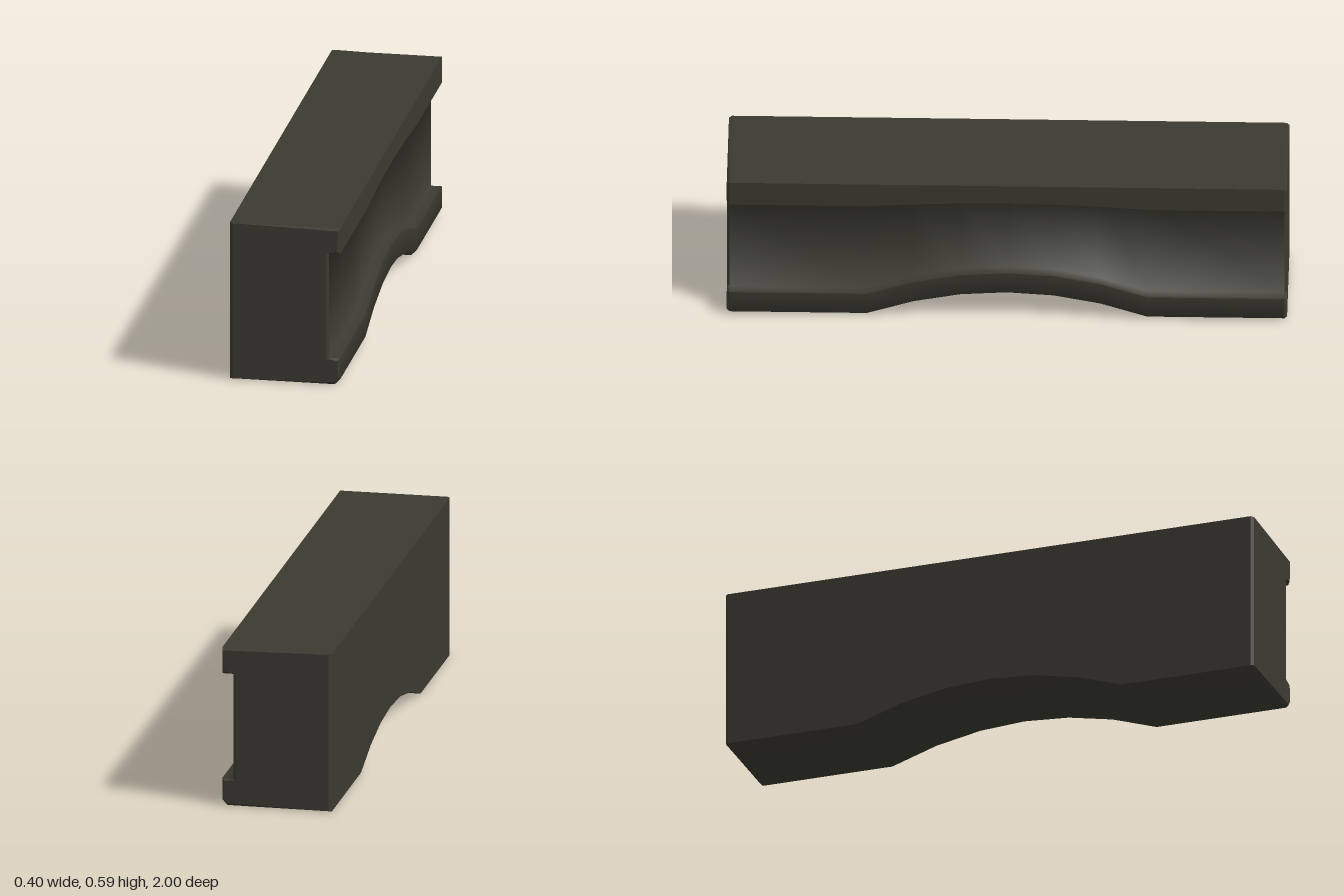
import * as THREE from 'three';

// Outline of the beam, anticlockwise seen from the front: [x, y, share of the arch rise]
const PROFILE = [
  [-0.2, 0, 1], [0.18, 0, 1], [0.2, 0.02, 1], [0.2, 0.1, 1], [0.16, 0.1, 1],
  [0.16, 0.49, 0.2], [0.2, 0.49, 0.2], [0.2, 0.587, 0], [-0.2, 0.587, 0],
];
// Slightly smaller outline of the bevelled end faces
const END = [
  [-0.19, 0.003], [0.18, 0.01], [0.195, 0.03], [0.19, 0.09], [0.15, 0.098],
  [0.15, 0.493], [0.19, 0.5], [0.196, 0.578], [-0.19, 0.586],
];
const STATIONS = [-0.99, -0.5, -1 / 3, -1 / 6, 0, 1 / 6, 1 / 3, 0.5, 0.99];

const arch = (z) => 0.1 * Math.max(0, 1 - (z / 0.5) ** 2);

// Join rows of points (z increasing) into an indexed surface
function loft(rows) {
  const n = rows[0].length, index = [];
  for (let i = 0; i < rows.length - 1; i++) {
    for (let j = 0; j < n - 1; j++) {
      const a = i * n + j, b = a + 1, c = b + n, d = a + n;
      index.push(a, b, c, a, c, d);
    }
  }
  const geo = new THREE.BufferGeometry();
  geo.setAttribute('position', new THREE.Float32BufferAttribute(rows.flat(2), 3));
  geo.setIndex(index);
  return geo;
}

// Long side surface, smooth within the strip of chosen profile points
function strip(ids) {
  const pts = ids.map((i) => PROFILE[i % PROFILE.length]);
  const edges = pts.slice(1).map(([x, y], i) =>
    new THREE.Vector2(y - pts[i][1], pts[i][0] - x).normalize());
  const normals = [];
  const rows = STATIONS.map((z) => {
    const slope = (arch(z + 1 / 12) - arch(z - 1 / 12)) * 6;
    return pts.map(([x, y, k], j) => {
      const n = edges[Math.max(j - 1, 0)].clone().add(edges[Math.min(j, edges.length - 1)]);
      normals.push(...new THREE.Vector3(n.x, n.y, -n.y * slope * k).normalize().toArray());
      return [x, y + arch(z) * k, z];
    });
  });
  const geo = loft(rows);
  geo.setAttribute('normal', new THREE.Float32BufferAttribute(normals, 3));
  return geo;
}

export function createModel() {
  const group = new THREE.Group();
  group.name = 'archedBeam';
  const material = new THREE.MeshStandardMaterial({ color: 0x3b3a31 });
  material.name = 'dark olive grey';
  const add = (name, geo) => {
    const mesh = new THREE.Mesh(geo, material);
    mesh.name = name;
    group.add(mesh);
  };

  // Long surfaces
  add('archedUnderside', strip([0, 1, 2, 3]));
  add('recessedPanel', strip([3, 4, 5, 6]));
  add('upperLip', strip([6, 7]));
  add('topFace', strip([7, 8]));
  add('plainSide', strip([8, 9]));

  // Bevels and caps at both ends
  for (const [name, s] of [['front', 1], ['back', -1]]) {
    const close = (list, z) => [...list, list[0]].map(([x, y]) => [x, y, z]);
    const rows = [close(PROFILE, 0.99 * s), close(END, s)];
    if (s < 0) rows.reverse();
    const bevel = loft(rows).toNonIndexed();
    bevel.computeVertexNormals();
    add(name + 'Bevel', bevel);

    const cap = new THREE.ShapeGeometry(
      new THREE.Shape(END.map(([x, y]) => new THREE.Vector2(x, y))));
    if (s < 0) cap.index.array.reverse();
    cap.translate(0, 0, s);
    cap.computeVertexNormals();
    add(name + 'Cap', cap);
  }
  return group;
}
